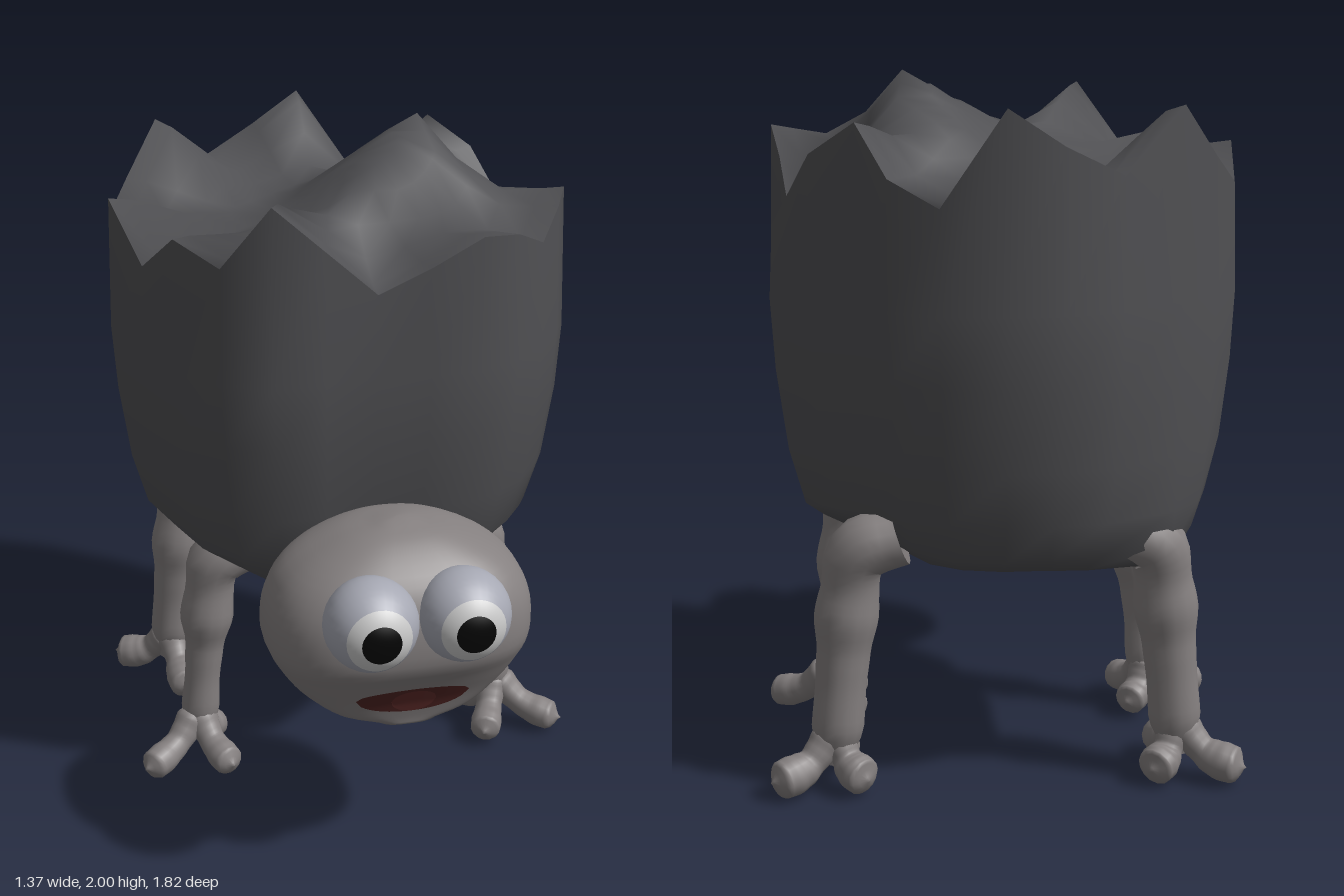
import * as THREE from 'three';
import { mergeVertices } from 'three/addons/utils/BufferGeometryUtils.js';

const paint = (color) => new THREE.MeshStandardMaterial({ color, side: THREE.DoubleSide });
const V = (p) => new THREE.Vector3(...p);
const { lerp, smoothstep, clamp } = THREE.MathUtils;

function mesh(name, geometry, material) {
  const m = new THREE.Mesh(geometry, material);
  m.name = name;
  return m;
}

// Skin over closed rings of [x, y, z], each running from front to +x
function loft(rings) {
  const n = rings[0].length, index = [];
  for (let i = 0; i < rings.length - 1; i++)
    for (let j = 0; j < n; j++) {
      const k = (j + 1) % n, a = i * n, b = a + n;
      index.push(a + j, a + k, b + k, a + j, b + k, b + j);
    }
  const g = new THREE.BufferGeometry();
  g.setAttribute('position', new THREE.Float32BufferAttribute(rings.flat(2), 3));
  g.setIndex(index);
  g.computeVertexNormals();
  return g;
}

// Tube along points whose radius follows a list
function limb(points, radii, segments = 28) {
  const curve = new THREE.CatmullRomCurve3(points.map(V));
  const g = new THREE.TubeGeometry(curve, segments, 1, 14);
  const pos = g.attributes.position, v = new THREE.Vector3();
  for (let i = 0; i < pos.count; i++) {
    const t = Math.floor(i / 15) / segments, c = curve.getPointAt(t);
    const f = t * (radii.length - 1), k = Math.min(Math.floor(f), radii.length - 2);
    const r = lerp(radii[k], radii[k + 1], smoothstep(f - k, 0, 1));
    v.fromBufferAttribute(pos, i).sub(c).multiplyScalar(r).add(c);
    pos.setXYZ(i, v.x, v.y, v.z);
  }
  g.deleteAttribute('uv');
  g.deleteAttribute('normal');
  const merged = mergeVertices(g, 1e-5);
  merged.computeVertexNormals();
  return merged;
}

// Jagged shell rim: x, z, height
const RIM = [
  [0, .31, 1.65], [.15, .32, 1.72], [.3, .32, 1.8], [.42, .26, 1.78], [.52, .17, 1.72], [.6, .06, 1.79],
  [.635, 0, 1.83], [.61, -.15, 1.75], [.59, -.28, 1.64], [.61, -.42, 1.55], [.63, -.52, 1.6], [.53, -.6, 1.8],
  [.41, -.68, 1.89], [.33, -.77, 1.75], [.2, -.85, 1.68], [.03, -.89, 1.94], [-.12, -.88, 1.84],
  [-.28, -.83, 1.76], [-.46, -.67, 1.93], [-.57, -.56, 1.78], [-.64, -.45, 1.7], [-.66, -.29, 1.8],
  [-.6, -.06, 1.66], [-.54, .14, 1.8], [-.43, .25, 1.74], [-.3, .33, 1.93], [-.15, .32, 1.79],
];
const CZ = -.28;

// Height of the crumpled top: a ridge from the front right tip up to a peak
function crumple(x, z) {
  const t = clamp(((x + .3) * .57 - (z - .33) * .62) / .71, 0, 1);
  const ridge = Math.max(0, 1 - Math.hypot(x + .3 - .57 * t, z - .33 + .62 * t) / .35);
  const peak = Math.max(0, 1 - Math.hypot(x - .27, z + .29) / .45);
  return 1.71 + .12 * ridge + .18 * peak;
}

function shell(material) {
  const group = new THREE.Group();
  group.name = 'shell';
  const layers = [[0, .64], [.35, .64], [.66, .65], [.81, .7], [.89, .81], [.96, .97], [1.01, 1.2], [1.03, 1.4]];
  // The bottom edge rises at the sides and drops to a sharp corner at the back right
  const walls = layers.map(([s, y]) => RIM.map(([x, z]) => {
    const corner = s > .5 ? .85 * Math.exp(-((x + .47) ** 2 + (z + .66) ** 2) / .05) : 0;
    const f = lerp(s, 1.02, corner);
    const lift = s < .85 ? .07 * smoothstep(Math.abs(x * s), .18, .47) * (1 - corner) : 0;
    return [x * f, y + lift, CZ + (z - CZ) * f];
  }));
  const rim = RIM.map(([x, z, y]) => [x * 1.015, y, CZ + (z - CZ) * 1.015]);
  group.add(mesh('shellWall', loft([...walls, rim]), material));
  const cap = [1, .9, .75, .6, .45, .3, .15, 0].map((s) => rim.map(([rx, ry, rz]) => {
    const x = rx * s, z = CZ + (rz - CZ) * s;
    return [x, lerp(crumple(x, z), ry, smoothstep(s, .45, 1)), z];
  }));
  group.add(mesh('shellTop', loft(cap), material));
  return group;
}

// Head slices: height, back z, front z, half width
const SLICES = [
  [.49, .62, .7, .08], [.52, .53, .707, .2], [.58, .42, .728, .29], [.65, .31, .765, .35], [.73, .22, .805, .385],
  [.85, .24, .8, .375], [.95, .28, .755, .31], [1.03, .37, .66, .17], [1.065, .5, .56, .04],
];
const POWER = 2.8;

function sliceAt(y) {
  let k = 0;
  while (k < SLICES.length - 2 && y > SLICES[k + 1][0]) k++;
  const a = SLICES[k], b = SLICES[k + 1], t = (y - a[0]) / (b[0] - a[0]);
  return a.map((v, i) => v + (b[i] - v) * t);
}

// Boxier at the face than at the back
function headGeometry() {
  const path = new THREE.CatmullRomCurve3(SLICES.map(([y, back, front]) => new THREE.Vector3(y, back, front)));
  const wide = new THREE.SplineCurve(SLICES.map(([y, , , w]) => new THREE.Vector2(y, w)));
  const ring = (y, back, front, w) => Array.from({ length: 48 }, (_, j) => {
    const a = j / 48 * Math.PI * 2, s = Math.sin(a), c = Math.cos(a), e = 2 / (c > 0 ? POWER : 2.2);
    return [w * Math.sign(s) * Math.abs(s) ** e, y,
      (back + front) / 2 + (front - back) / 2 * Math.sign(c) * Math.abs(c) ** e];
  });
  const rings = [ring(.488, .66, .66, 0)];
  for (let i = 0; i <= 32; i++) {
    const p = path.getPoint(i / 32);
    rings.push(ring(p.x, p.y, p.z, wide.getPoint(i / 32).y));
  }
  rings.push(ring(1.067, .53, .53, 0));
  return loft(rings);
}

// Curved patch lying on the face
function facePatch(halfWidth, midY, up, down, lift) {
  const g = new THREE.PlaneGeometry(2, 2, 20, 8), pos = g.attributes.position;
  for (let i = 0; i < pos.count; i++) {
    const u = pos.getX(i), v = pos.getY(i);
    const x = u * halfWidth, y = midY + v * (v > 0 ? up : down) * Math.sqrt(Math.max(0, 1 - u * u));
    const [, back, front, w] = sliceAt(y);
    const z = (back + front) / 2 + (front - back) / 2 * (1 - Math.min(1, Math.abs(x) / w) ** POWER) ** (1 / POWER);
    pos.setXYZ(i, x, y, z + lift);
  }
  g.computeVertexNormals();
  return g;
}

function eye(side) {
  const group = new THREE.Group();
  group.name = side > 0 ? 'leftEye' : 'rightEye';
  const cap = (r, angle) => new THREE.SphereGeometry(r, 32, 20, 0, Math.PI * 2, 0, angle).rotateX(Math.PI / 2);
  group.add(
    mesh('eyeball', cap(.134, Math.PI), paint(0xa6a8b3)),
    mesh('eyeWhite', cap(.137, .74), paint(0xeeeeee)),
    mesh('pupil', cap(.14, .41), paint(0x050505)),
  );
  group.position.set(side * .132, .865, .77);
  return group;
}

// Leg path, toe tips and toe thickness for the left side; the right side mirrors them
const LEGS = {
  frontLeg: {
    path: [[.3, .74, -.06], [.415, .7, -.055], [.445, .57, -.055], [.46, .43, -.055], [.475, .27, -.055], [.49, .08, -.06]],
    radii: [.08, .09, .075, .083, .06, .055, .06, .04],
    toes: [[.655, .055, .06], [.42, .06, .1], [.42, .06, -.15]],
    tip: .05,
  },
  backLeg: {
    path: [[.3, .74, -.62], [.415, .7, -.61], [.445, .57, -.595], [.46, .43, -.595], [.475, .27, -.6], [.49, .08, -.6]],
    radii: [.08, .09, .082, .092, .077, .073, .075, .045],
    toes: [[.645, .06, -.69], [.41, .06, -.69], [.47, .055, -.42]],
    tip: .057,
  },
};

function leg(name, side, { path, radii, toes, tip }, material) {
  const group = new THREE.Group();
  group.name = (side > 0 ? 'left' : 'right') + name[0].toUpperCase() + name.slice(1);
  const flip = (p) => [p[0] * side, p[1], p[2]];
  group.add(mesh('limb', limb(path.map(flip), radii), material));
  const [ax, , az] = path[path.length - 1];
  for (const [x, y, z] of toes) {
    const mid = [(ax + x) / 2, .085, (az + z) / 2];
    const end = [x + (x - ax) * .18, y, z + (z - az) * .18];
    const points = [[ax, .17, az], mid, [x, y, z], end].map(flip);
    group.add(mesh('toe', limb(points, [.03, .052, .046, .042, tip * .9, tip, tip * .95, 0], 28), material));
  }
  return group;
}

export function createModel() {
  const model = new THREE.Group();
  model.name = 'shelledCreature';
  const skin = paint(0x858080);
  model.add(shell(paint(0x505053)));

  // Head, neck and mouth
  model.add(mesh('head', headGeometry(), skin));
  model.add(mesh('neck', limb([[0, .8, .45], [0, .79, .25], [0, .78, .05]], [.14, .1, .1], 10), skin));
  model.add(mesh('mouth', facePatch(.165, .603, .036, .057, .006), paint(0x4f2422)));
  model.add(mesh('tongue', facePatch(.065, .595, .038, .045, .011), paint(0x602c2a)));

  for (const side of [1, -1]) {
    model.add(eye(side));
    for (const [name, spec] of Object.entries(LEGS)) model.add(leg(name, side, spec, skin));
  }
  return model;
}
